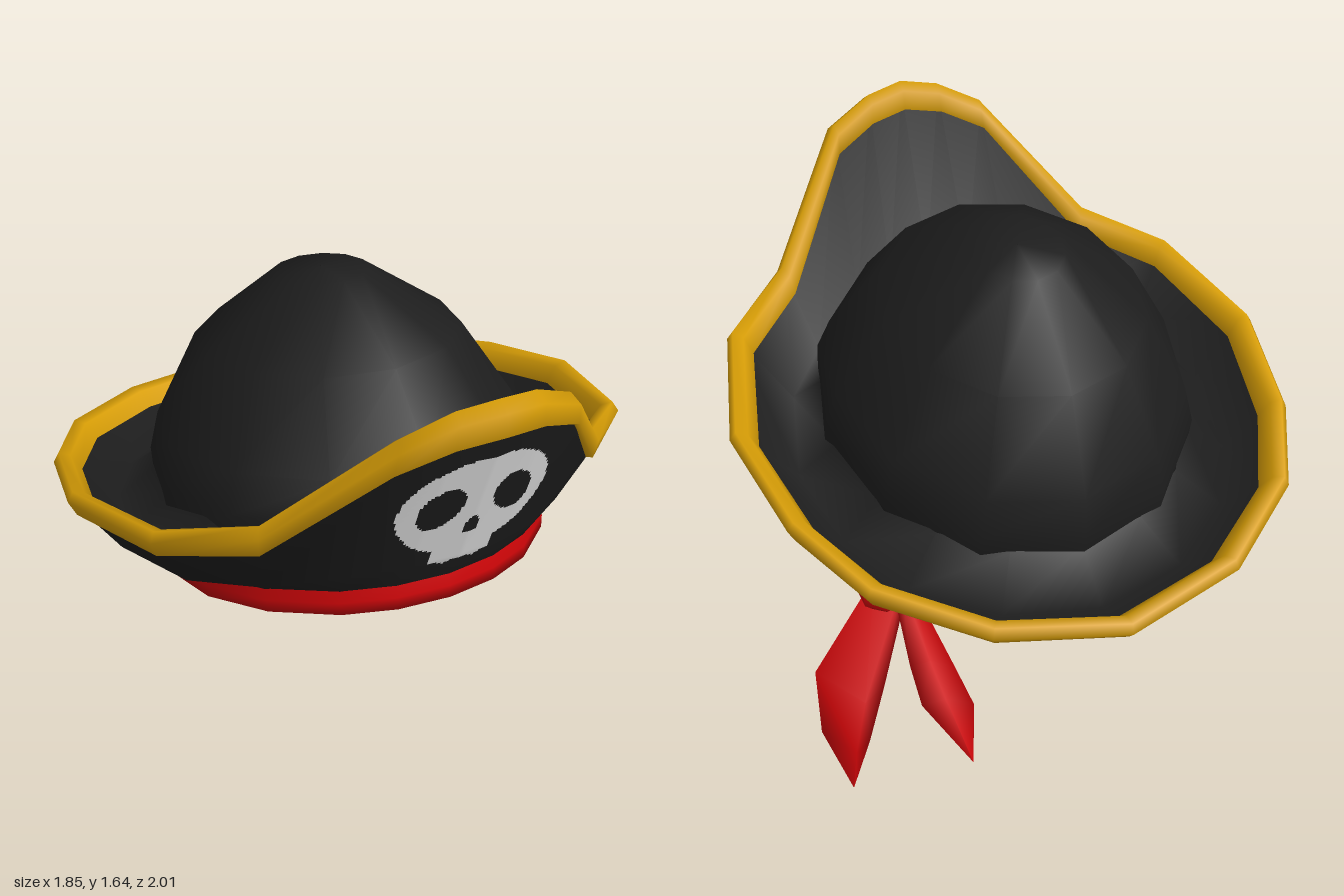
import * as THREE from 'three';
import { toCreasedNormals } from 'three/addons/utils/BufferGeometryUtils.js';

const V = (x, y, z) => new THREE.Vector3(x, y, z);

function material(name, color) {
  const m = new THREE.MeshStandardMaterial({ color, side: THREE.DoubleSide });
  m.name = name;
  return m;
}

// Skin a list of closed rings (each an array of Vector3)
function loft(rings, crease) {
  const n = rings[0].length, index = [];
  for (let i = 0; i < rings.length - 1; i++) {
    for (let j = 0; j < n; j++) {
      const a = i * n + j, b = i * n + (j + 1) % n;
      index.push(a, a + n, b, b, a + n, b + n);
    }
  }
  const g = new THREE.BufferGeometry().setFromPoints(rings.flat());
  g.setIndex(index);
  g.computeVertexNormals();
  return crease ? toCreasedNormals(g, crease) : g;
}

// The whole hat leans back: u runs up its axis, r is the radius, angle 0 is the back
function leaning(angle, r, u, shift = 0) {
  const f = shift - r * Math.cos(angle);
  return V(0.89 * r * Math.sin(angle), 0.715 + 0.973 * u + 0.23 * f, 0.06 + 0.973 * f - 0.23 * u);
}

// Rim of the brim from back to front on the left: angle on the band, then x, y, z
const HALF_RIM = [
  [0, 0, 0.73, -1], [22, 0.4, 0.765, -0.9], [44, 0.7, 0.83, -0.67], [64, 0.85, 0.905, -0.38],
  [86, 0.92, 1.0, 0], [110, 0.81, 1.09, 0.43], [130, 0.57, 1.17, 0.65],
  [150, 0.28, 1.53, 0.92], [165, 0.13, 1.6, 0.965], [180, 0, 1.62, 0.99],
];

// Is the point on the painted skull?
function onSkull(x, y) {
  const ax = Math.abs(x);
  const head = (x / 0.24) ** 2 + ((y - 1.255) / 0.205) ** 2 < 1;
  const toothBottom = 0.995 + 0.02 * Math.abs(Math.cos(x * 31));
  const jaw = ax < 0.1 && y < 1.12 && y > toothBottom;
  const ex = ax - 0.115, ey = y - 1.265;
  const eye = ((ex + 0.25 * ey) / 0.066) ** 2 + ((ey - 0.1 * ex) / 0.085) ** 2 < 1;
  const nose = y > 1.14 && y < 1.21 && ax < Math.min(0.026, (1.215 - y) * 0.6);
  return (head || jaw) && !eye && !nose;
}

export function createModel() {
  const group = new THREE.Group();
  const black = material('black felt', 0x1d1d1d);
  const gold = material('gold trim', 0xd89e06);
  const red = material('red cloth', 0xcc0508);
  const white = material('pale paint', 0xe8e8e8);
  const add = (name, geometry, mat) => {
    const mesh = new THREE.Mesh(geometry, mat);
    mesh.name = name;
    group.add(mesh);
    return mesh;
  };

  // Crown, sheared a little towards the front as it rises
  const crown = [[0.66, 0.05], [0.69, 0.12], [0.69, 0.26], [0.645, 0.385], [0.47, 0.65], [0.165, 0.845], [0.001, 0.855]];
  add('crown', loft(crown.map(([r, u]) => Array.from({ length: 12 }, (_, i) => {
    const a = i * Math.PI / 6;
    return leaning(a, r, u + 0.08 * u * r * Math.cos(a), 0.04 * u);
  }))), black);

  // Full rim, mirrored to the right side
  const deg = Math.PI / 180;
  const half = HALF_RIM.map(([a, x, y, z]) => ({ a: a * deg, p: V(x, y, z) }));
  const mirrored = half.slice(1, -1).reverse().map(({ a, p }) => ({ a: -a, p: V(-p.x, p.y, p.z) }));
  const rim = [...half, ...mirrored];
  const n = rim.length;

  // Brim and trim cross-sections around the rim; the front flap bulges forward
  const brimRings = Array.from({ length: 7 }, () => []);
  const trimRings = Array.from({ length: 7 }, () => []);
  rim.forEach(({ a, p }, i) => {
    const base = leaning(a, 0.715, 0.035);
    const front = (1 - Math.cos(a)) / 2;
    const bulge = 0.025 * front ** 6;
    const w = 0.065 + 0.025 * front;
    const mid = base.clone().lerp(p, 0.53 - 0.33 * front * front);
    mid.y = base.y + 0.15 * (p.y - base.y);
    const out = p.clone().sub(mid).normalize();
    const along = rim[(i + 1) % n].p.clone().sub(rim[(i + n - 1) % n].p);
    const inward = along.cross(out).normalize();
    const at = (o, q) => p.clone().addScaledVector(out, o).addScaledVector(inward, q);
    [base, mid, at(-w - 0.01, 0.004 - bulge), at(-0.01, 0), at(-0.01, 0.03),
      mid.clone().addScaledVector(inward, 0.06), leaning(a, 0.665, 0.22)].forEach((v, k) => brimRings[k].push(v));
    [at(-w, 0.008 - bulge), at(0.02 - w, -0.014 - bulge), at(0, -0.004 - bulge / 2), at(0.014, 0.03),
      at(-0.02, 0.052), at(-0.085, 0.045), at(-0.085, 0.02)].forEach((v, k) => trimRings[k].push(v));
  });
  const brim = add('brim', loft(brimRings), black);
  add('brimTrim', loft(trimRings), gold);

  // Head band, and the lining closing the hat inside it
  const around = (profile) => profile.map(([r, u]) => rim.map(({ a }) => leaning(a, r, u)));
  add('headBand', loft(around([[0.59, -0.03], [0.715, -0.04], [0.72, 0.0], [0.718, 0.045]])), red);
  add('lining', loft(around([[0.001, 0.1], [0.58, 0.065], [0.592, -0.03]]), 0.7), black);

  // Knot on the left of the band
  const knot = add('knot', new THREE.SphereGeometry(1, 7, 5), red);
  knot.scale.set(0.09, 0.07, 0.09);
  knot.position.set(0.57, 0.6, -0.4);

  // Cloth tails: diamond sections along a few points, each with a width factor
  const tail = (name, sections, wide, thick) => {
    const rings = sections.map(([x, y, z, s]) => [[wide, 1], [thick, 1], [wide, -1], [thick, -1]]
      .map(([axis, sign]) => V(x, y, z).addScaledVector(axis, sign * s)));
    add(name, loft(rings), red);
  };
  tail('longTail', [[0.54, 0.6, -0.38, 0.5], [0.73, 0.35, -0.5, 1], [0.775, 0.17, -0.565, 0.7], [0.78, 0, -0.63, 0.01]],
    V(0.1, 0.03, 0.04), V(0.02, 0.03, 0.09));
  tail('shortTail', [[0.51, 0.58, -0.4, 0.4], [0.495, 0.43, -0.62, 0.85], [0.485, 0.36, -0.73, 1], [0.45, 0.21, -0.85, 0.01]],
    V(0.085, 0.03, 0), V(0.02, 0.07, -0.04));

  // Skull painted on the front of the brim: a fine sheet laid on the felt
  const sheet = new THREE.PlaneGeometry(0.5, 0.5, 64, 64).translate(0, 1.23, 0);
  const pos = sheet.attributes.position, source = sheet.index.array, kept = [];
  const ray = new THREE.Raycaster();
  brim.updateMatrixWorld();
  for (let i = 0; i < pos.count; i++) {
    ray.set(V(pos.getX(i), pos.getY(i), 5), V(0, 0, -1));
    const hit = ray.intersectObject(brim)[0];
    if (hit) pos.setZ(i, hit.point.z + 0.007);
  }
  for (let k = 0; k < source.length; k += 6) {
    const a = source[k], c = source[k + 4];
    const x = (pos.getX(a) + pos.getX(c)) / 2, y = (pos.getY(a) + pos.getY(c)) / 2;
    if (onSkull(x, y)) kept.push(...source.slice(k, k + 6));
  }
  sheet.setIndex(kept);
  sheet.computeVertexNormals();
  add('skullEmblem', sheet, white);

  return group;
}
